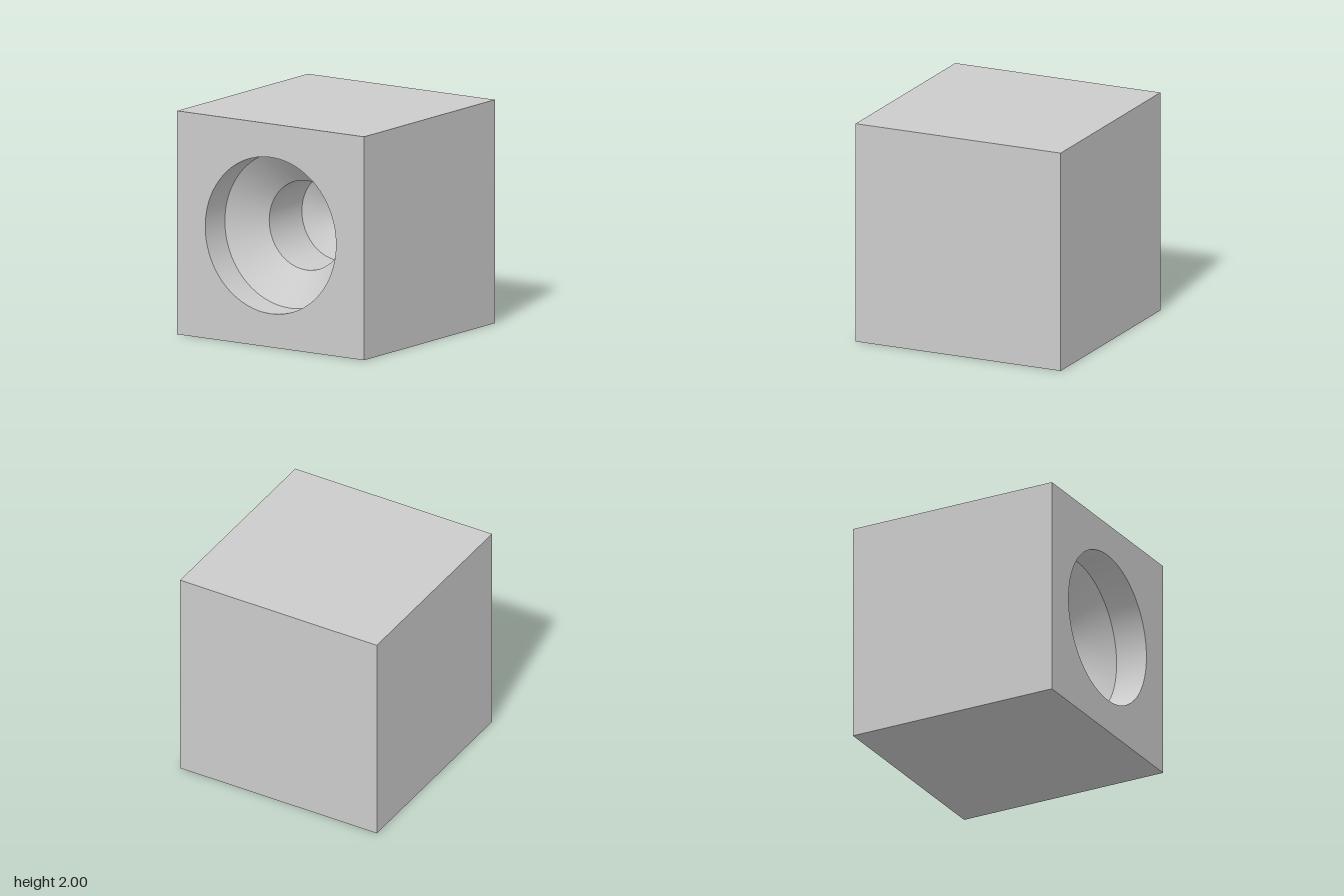
import * as THREE from 'three';

export function createModel() {
  const group = new THREE.Group();
  const material = new THREE.MeshStandardMaterial({ color: 0xcccccc });
  const add = (name, geometry, parent = group) => {
    const mesh = new THREE.Mesh(geometry, material);
    mesh.name = name;
    parent.add(mesh);
    return mesh;
  };

  // Cube body without its front (+z) face
  const body = new THREE.BoxGeometry(2, 2, 2);
  const index = Array.from(body.index.array);
  index.splice(24, 6);
  body.setIndex(index);
  body.clearGroups();
  add('body', body).position.y = 1;

  // Front face with the round mouth of the bore
  const square = new THREE.Shape()
    .moveTo(-1, -1).lineTo(1, -1).lineTo(1, 1).lineTo(-1, 1).closePath();
  square.holes.push(new THREE.Path().absarc(0, 0, 0.7, 0, Math.PI * 2, true));
  add('frontFace', new THREE.ShapeGeometry(square, 48)).position.set(0, 1, 1);

  // Blind stepped bore: [radius, depth] from mouth to tip, one lathe per
  // section so that the edges between sections stay sharp
  const bore = new THREE.Group();
  bore.name = 'bore';
  bore.position.set(0, 1, 1);
  bore.rotation.x = Math.PI / 2;
  group.add(bore);
  const profile = [[0.7, 0], [0.7, 0.3], [0.4, 0.55], [0.4, 1.05], [0, 1.3]]
    .map(([radius, depth]) => new THREE.Vector2(radius, -depth));
  ['counterbore', 'countersink', 'pilotHole', 'drillPoint'].forEach((name, i) => {
    add(name, new THREE.LatheGeometry([profile[i], profile[i + 1]], 96), bore);
  });

  return group;
}
